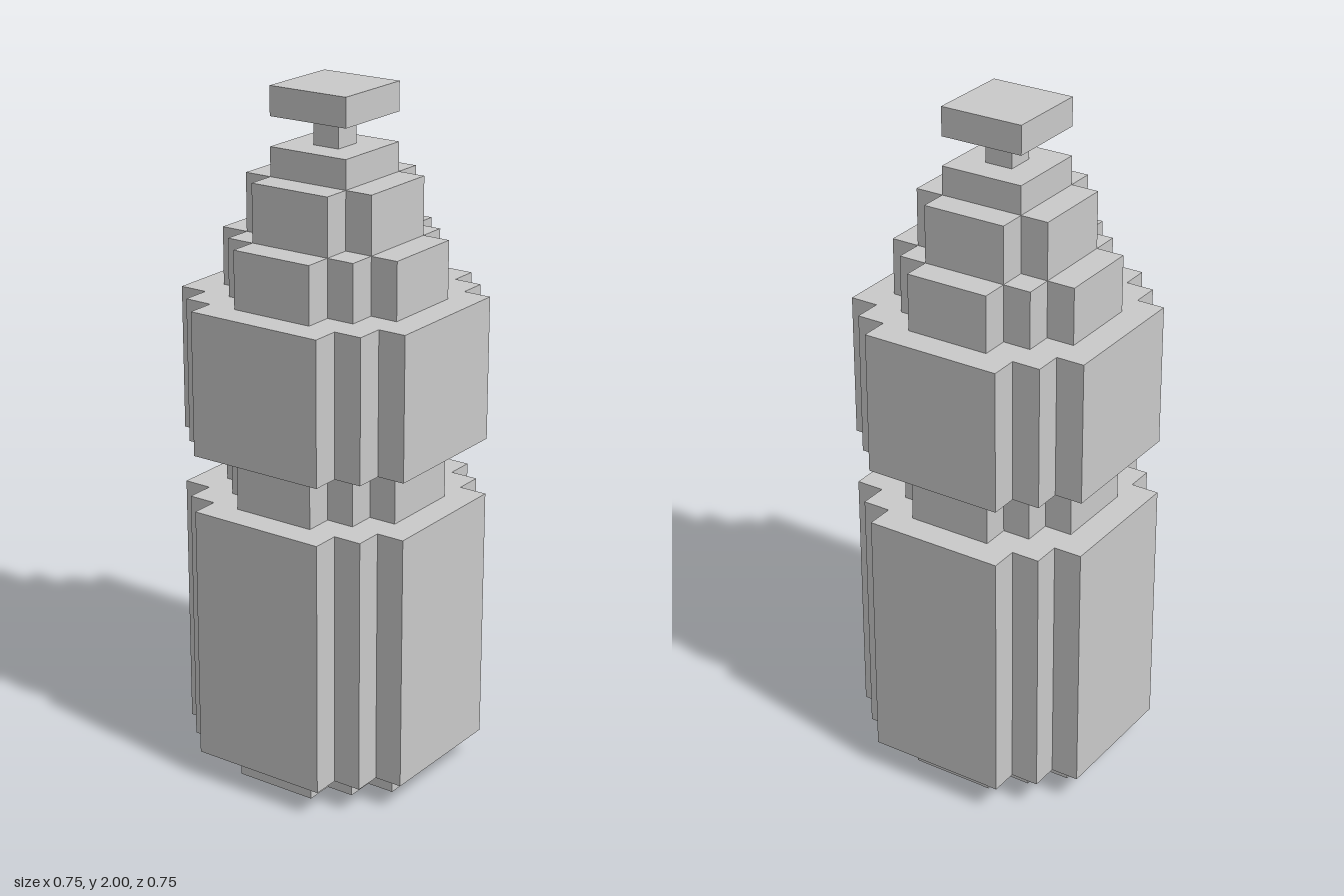
import * as THREE from 'three';

const U = 1 / 12; // size of one block

// Stepped "round" outline: half-widths from widest to narrowest, one quadrant turned four times
function steppedOutline(steps) {
  const quadrant = [];
  const n = steps.length;
  steps.forEach((s, i) => {
    const depth = steps[n - 1 - i];
    quadrant.push([s, depth]);
    if (i < n - 1) quadrant.push([steps[i + 1], depth]); // inner corner
  });
  const points = [];
  for (let q = 0; q < 4; q++) {
    for (const [x, y] of quadrant) {
      points.push(new THREE.Vector2(x * U, y * U).rotateAround(new THREE.Vector2(), q * Math.PI / 2));
    }
  }
  return new THREE.Shape(points);
}

export function createModel() {
  const group = new THREE.Group();
  group.name = 'bottle';
  const material = new THREE.MeshStandardMaterial({ color: 0xcccccc, flatShading: true });

  const wide = [4.5, 3.5, 2.5];
  const medium = [3.5, 2.5, 1.5];

  // Layers from bottom to top: name, outline, start and end height in blocks
  const layers = [
    ['base', medium, 0, 1],
    ['lowerBody', wide, 1, 10],
    ['waist', medium, 10, 12],
    ['upperBody', wide, 12, 17],
    ['lowerShoulder', medium, 17, 19],
    ['upperShoulder', [2.5, 1.5], 19, 21],
    ['collar', [1.5], 21, 22],
    ['neck', [0.5], 22, 23],
    ['cap', [1.5], 23, 24],
  ];

  for (const [name, steps, y0, y1] of layers) {
    const geometry = new THREE.ExtrudeGeometry(steppedOutline(steps), {
      depth: (y1 - y0) * U,
      bevelEnabled: false,
    });
    geometry.rotateX(-Math.PI / 2);
    const mesh = new THREE.Mesh(geometry, material);
    mesh.name = name;
    mesh.position.y = y0 * U;
    group.add(mesh);
  }
  return group;
}
